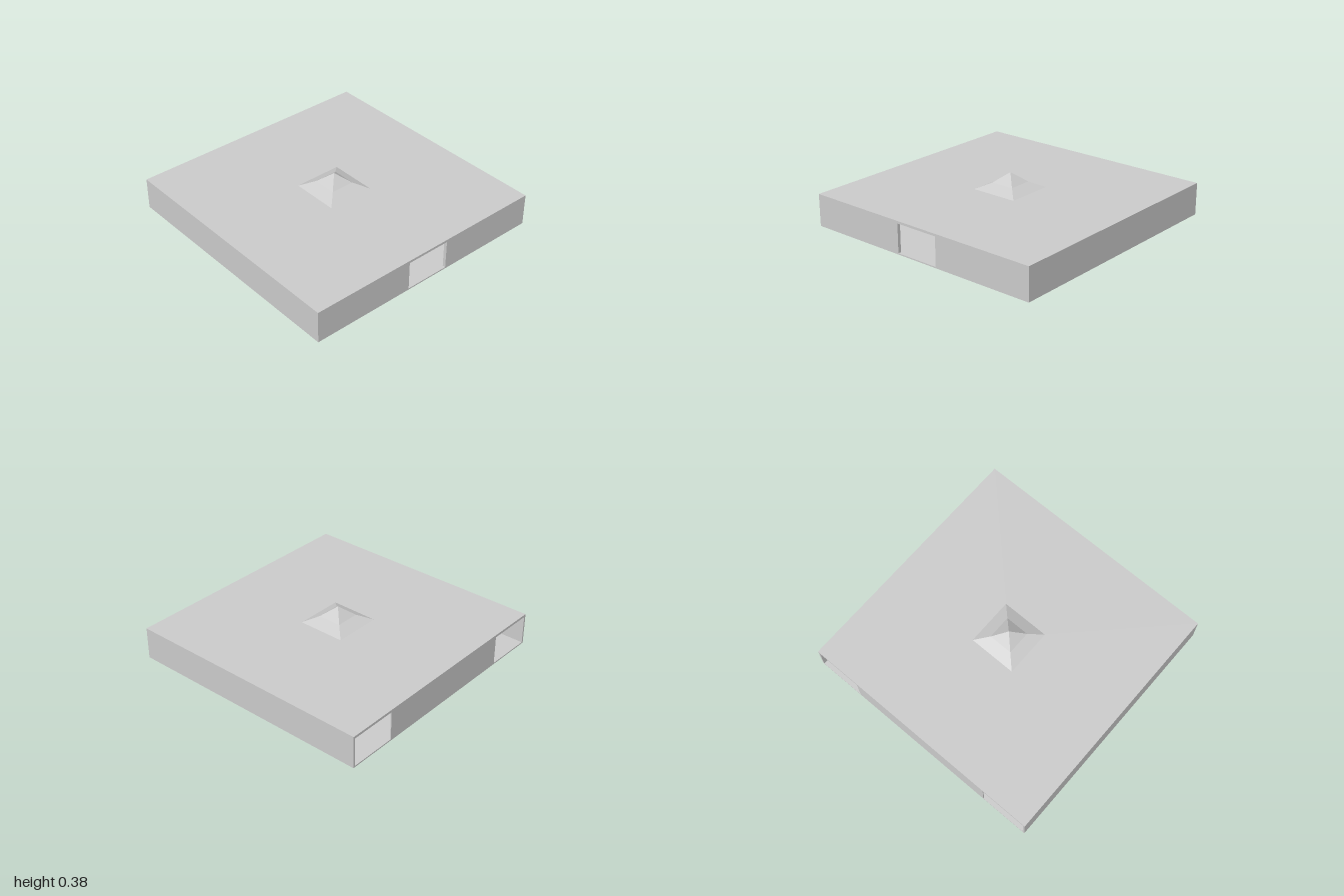
import * as THREE from 'three';

export function createModel() {
  const group = new THREE.Group();
  const material = new THREE.MeshStandardMaterial({ color: 0xcccccc, flatShading: true });
  const FLOOR = 0.01, CEILING = 0.235, SIDE = 0.985;

  function add(name, geometry) {
    const mesh = new THREE.Mesh(geometry, material);
    mesh.name = name;
    group.add(mesh);
  }

  // Box given by its limits on each axis
  function block(name, [x0, x1], [y0, y1], [z0, z1]) {
    const geometry = new THREE.BoxGeometry(x1 - x0, y1 - y0, z1 - z0);
    geometry.translate((x0 + x1) / 2, (y0 + y1) / 2, (z0 + z1) / 2);
    add(name, geometry);
  }

  const wall = [FLOOR, CEILING];
  block('floor', [-1, 1], [0, FLOOR], [-1, 1]);

  // Side walls
  block('leftWall', [SIDE, 1], wall, [-1, 1]);
  block('rightWall', [-1, -SIDE], wall, [-1, 1]);

  // Front wall on both sides of a central doorway
  block('frontWallLeft', [0.18, SIDE], wall, [0.975, 1]);
  block('frontWallRight', [-SIDE, -0.18], wall, [0.975, 1]);

  // Back wall, leaving an opening at each corner
  block('backWall', [-0.61, 0.61], wall, [-1, -0.992]);

  // Square roof slab rising into a two-pitch pyramid
  const profile = [
    [0, CEILING], [1, CEILING], [1, 0.254], [0.19, 0.257], [0.095, 0.305], [0, 0.383],
  ].map(([half, y]) => new THREE.Vector2(half * Math.SQRT2, y));
  const roof = new THREE.LatheGeometry(profile, 4);
  roof.rotateY(Math.PI / 4);
  add('roof', roof);

  return group;
}
